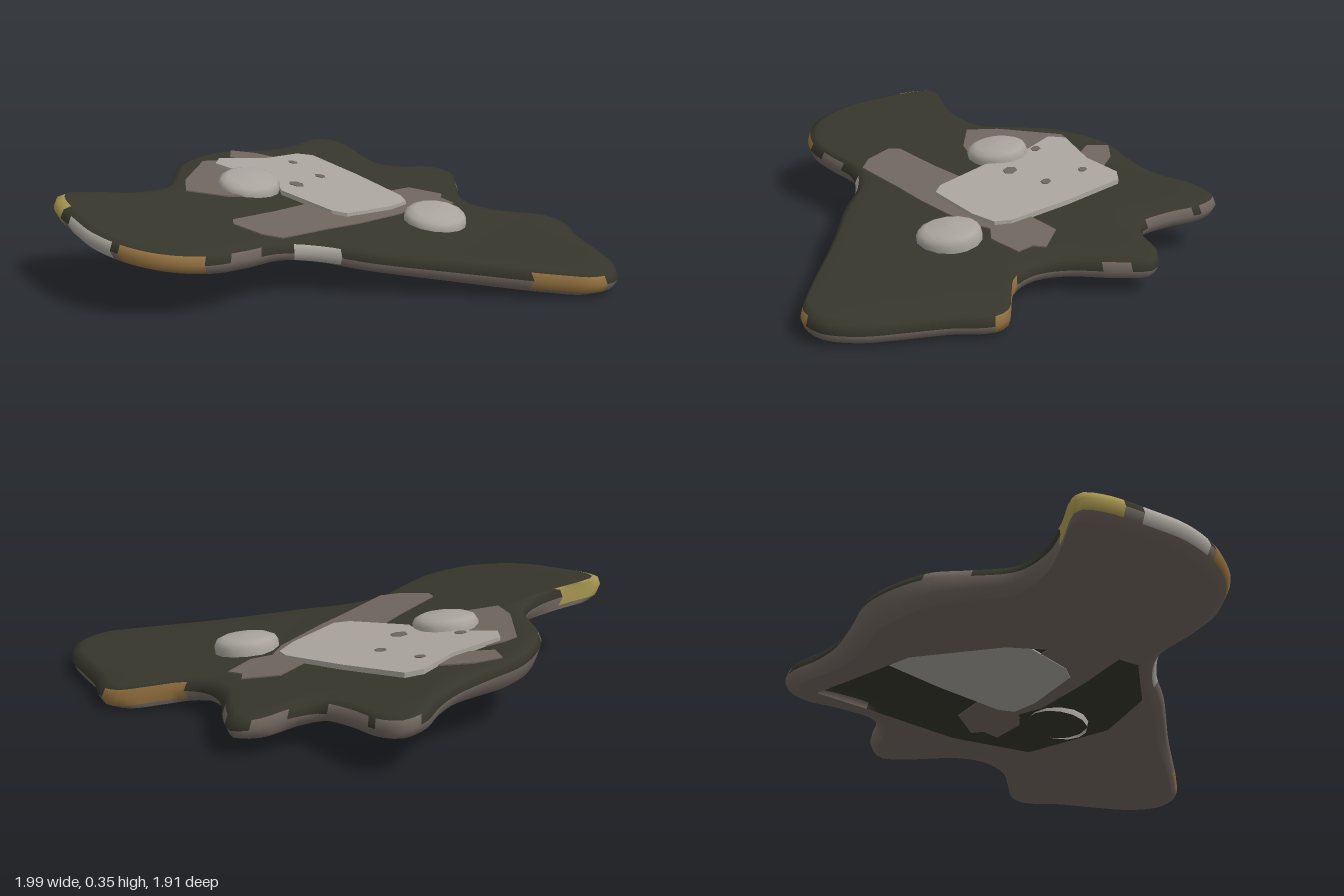
import * as THREE from 'three';

const mat = (name, color) => {
  const m = new THREE.MeshStandardMaterial({ color, side: THREE.DoubleSide });
  m.name = name;
  return m;
};

// Gentle tilt shared by every part: height of the upper skin at (x, z)
const surfaceY = (x, z) => 0.205 - 0.12 * x + 0.06 * z + 0.035 * Math.max(0, x) ** 2;
// The slab is thicker around the right flank
const thickness = (x, z) => 1 + 0.4 * Math.exp(-((x + 0.8) ** 2 + (z + 0.2) ** 2) / 0.08);

const CENTER = [-0.4, 0];
const OUTLINE = [
  [-.70, -.92], [-.61, -.915], [-.47, -.83], [-.34, -.78], [-.25, -.83], [-.16, -.94], [-.08, -.955],
  [-.01, -.87], [.1, -.68], [.2, -.6], [.32, -.59], [.42, -.64], [.53, -.695], [.6, -.68], [.7, -.56],
  [.83, -.44], [.94, -.33], [.995, -.21], [.96, -.1], [.85, -.03], [.5, .14], [.2, .3], [.03, .37],
  [-.1, .48], [-.16, .66], [-.22, .8], [-.34, .91], [-.48, .95], [-.65, .93], [-.78, .87], [-.95, .77],
  [-1, .7], [-.9, .57], [-.82, .45], [-.79, .3], [-.87, .12], [-.93, 0], [-.95, -.15], [-.93, -.3],
  [-.85, -.44], [-.78, -.58], [-.755, -.7], [-.75, -.84],
];

const toShape = (pts) => new THREE.Shape(pts.map(([x, z]) => new THREE.Vector2(x, -z)));

// Lay a flat geometry built in (x, -z) onto the tilted surface
function drape(geo, offset) {
  geo.rotateX(-Math.PI / 2);
  const p = geo.attributes.position;
  for (let i = 0; i < p.count; i++) {
    const x = p.getX(i), z = p.getZ(i);
    p.setY(i, p.getY(i) + surfaceY(x, z) + offset(x, z));
  }
  geo.computeVertexNormals();
  return geo;
}

export function createModel() {
  const group = new THREE.Group();
  const olive = mat('dark olive', 0x36362c);
  const taupe = mat('taupe', 0x70665f);
  const pale = mat('pale grey', 0xaaa69e);
  const gold = mat('dull gold', 0xa89650);
  const tan = mat('tan', 0x92703f);
  const add = (name, geo, material) => {
    const mesh = new THREE.Mesh(geo, material);
    mesh.name = name;
    group.add(mesh);
    return mesh;
  };

  // Smooth closed outline
  const curve = new THREE.CatmullRomCurve3(
    OUTLINE.map(([x, z]) => new THREE.Vector3(x, 0, z)), true, 'centripetal');
  const N = 180;
  const edge = curve.getSpacedPoints(N).slice(0, N);
  const inset = (p, d) => {
    const dx = p.x - CENTER[0], dz = p.z - CENTER[1];
    const f = 1 - d / Math.hypot(dx, dz);
    return [CENTER[0] + dx * f, CENTER[1] + dz * f];
  };

  // Rings running from the centre, over the rounded rim and under
  const SKIN = 8;
  const rimProfile = [[.045, 0], [.014, -.012], [0, -.045], [.018, -.078], [.06, -.095]];
  const pos = [];
  const ring = (point, drop) => edge.forEach((e) => {
    const [x, z] = point(e);
    pos.push(x, surfaceY(x, z) + drop * (drop < -.05 ? thickness(x, z) : 1), z);
  });
  for (let r = 0; r < SKIN; r++) {
    const t = r / SKIN;
    ring((e) => {
      const [x, z] = inset(e, rimProfile[0][0]);
      return [CENTER[0] + (x - CENTER[0]) * t, CENTER[1] + (z - CENTER[1]) * t];
    }, 0);
  }
  rimProfile.forEach(([d, drop]) => ring((e) => inset(e, d), drop));

  // Worn colours along the rim: x, z, reach, material index
  const mats = [olive, taupe, pale, gold, tan];
  const wear = [
    [-.97, .70, .17, 3], [-.33, .9, .17, 4], [.42, -.64, .17, 4], [.9, -.06, .14, 4],
    [-.68, .92, .15, 2], [.03, .37, .09, 2], [-.9, .08, .08, 1], [-.7, -.92, .1, 1],
    [-.48, -.84, .1, 1], [-.2, -.88, .06, 1], [.0, -.87, .06, 1], [-.15, .62, .08, 1],
  ];
  const rimColour = (e, row) => {
    if (row === 3) return 1;
    const w = wear.find(([x, z, r]) => Math.hypot(e.x - x, e.z - z) < r);
    if (w && (row > 0 || w[3] === 3)) return w[3];
    return row === 2 ? 1 : 0;
  };
  const faces = mats.map(() => []);
  for (let r = 0; r < SKIN + rimProfile.length - 1; r++) {
    for (let i = 0; i < N; i++) {
      const j = (i + 1) % N;
      const a = r * N + i, b = r * N + j, c = a + N, d = b + N;
      const list = faces[r < SKIN ? 0 : rimColour(edge[i], r - SKIN)];
      if (r > 0) list.push(a, d, b);
      list.push(a, d, c);
      // keep both triangles facing outward
      if (r > 0) list.splice(-6, 6, a, b, d, a, d, c);
      else list.splice(-3, 3, a, d, c);
    }
  }
  const slab = new THREE.BufferGeometry();
  slab.setAttribute('position', new THREE.Float32BufferAttribute(pos, 3));
  slab.setIndex(faces.flat());
  let start = 0;
  faces.forEach((f, k) => {
    slab.addGroup(start, f.length, k);
    start += f.length;
  });
  slab.computeVertexNormals();
  add('slabSkinAndRim', slab, mats);

  // Underside, open in the middle so the hollow shows
  const under = toShape(edge.map((e) => inset(e, .06)));
  under.holes.push(toShape([
    [.1, .26], [.22, .02], [.19, -.36], [-.08, -.56], [-.42, -.7], [-.64, -.8],
    [-.67, -.3], [-.5, .03], [-.28, .29], [-.12, .38],
  ]));
  const underGeo = new THREE.ShapeGeometry(under);
  underGeo.setIndex(Array.from(underGeo.index.array).reverse());
  add('underside', drape(underGeo, (x, z) => -.095 * thickness(x, z)), taupe);

  // Patches set through the skin, visible from above and inside
  const patch = (name, pts, low, high, material) => add(name, drape(
    new THREE.ExtrudeGeometry(toShape(pts), { depth: high - low, bevelEnabled: false }),
    () => low), material);
  patch('rightPatch', [
    [-.87, -.33], [-.78, -.39], [-.64, -.42], [-.4, -.3], [-.45, .1], [-.53, .2],
    [-.68, .28], [-.76, .17], [-.86, -.1], [-.83, -.15], [-.7, -.27], [-.82, -.25],
  ], -.004, .005, taupe);
  patch('longPatch', [
    [-.08, -.53], [.06, -.57], [.08, -.52], [.15, -.5], [.12, -.36], [.05, -.31], [.06, -.2],
    [0, .05], [-.05, .2], [-.12, .44], [-.2, .47], [-.33, .46], [-.36, .42], [-.3, .2],
    [-.25, -.05], [-.1, -.3], [-.13, -.36],
  ], -.004, .005, taupe);
  patch('palePanel', [
    [-.63, -.5], [-.57, -.54], [-.3, -.46], [-.03, -.36], [.02, -.31], [.01, -.2], [-.07, .03],
    [-.13, .05], [-.4, 0], [-.45, -.06], [-.78, -.08], [-.81, -.15], [-.68, -.33],
  ], -.006, .02, pale);

  // Small worn spots on the panel
  [[-.39, -.3, .025], [-.57, -.37, .022], [-.4, -.12, .035], [-.64, -.1, .025]].forEach(([x, z, r], k) => {
    const pts = [0, 1, 2, 3, 4, 5].map((i) => [x + r * Math.cos(i * 1.047), z + r * .8 * Math.sin(i * 1.047)]);
    patch('wornSpot' + (k + 1), pts, .016, .023, taupe);
  });

  // Two shallow rounded studs
  const profile = [[.128, -.01], [.13, .02], [.118, .042], [.09, .054], [0, .06]]
    .map(([r, y]) => new THREE.Vector2(r, y));
  [[.2, -.22, 'leftStud'], [-.54, .03, 'rightStud']].forEach(([x, z, name]) => {
    const stud = add(name, new THREE.LatheGeometry(profile, 14), pale);
    stud.position.set(x, surfaceY(x, z), z);
    stud.rotation.set(.06, 0, -.12);
  });
  return group;
}
